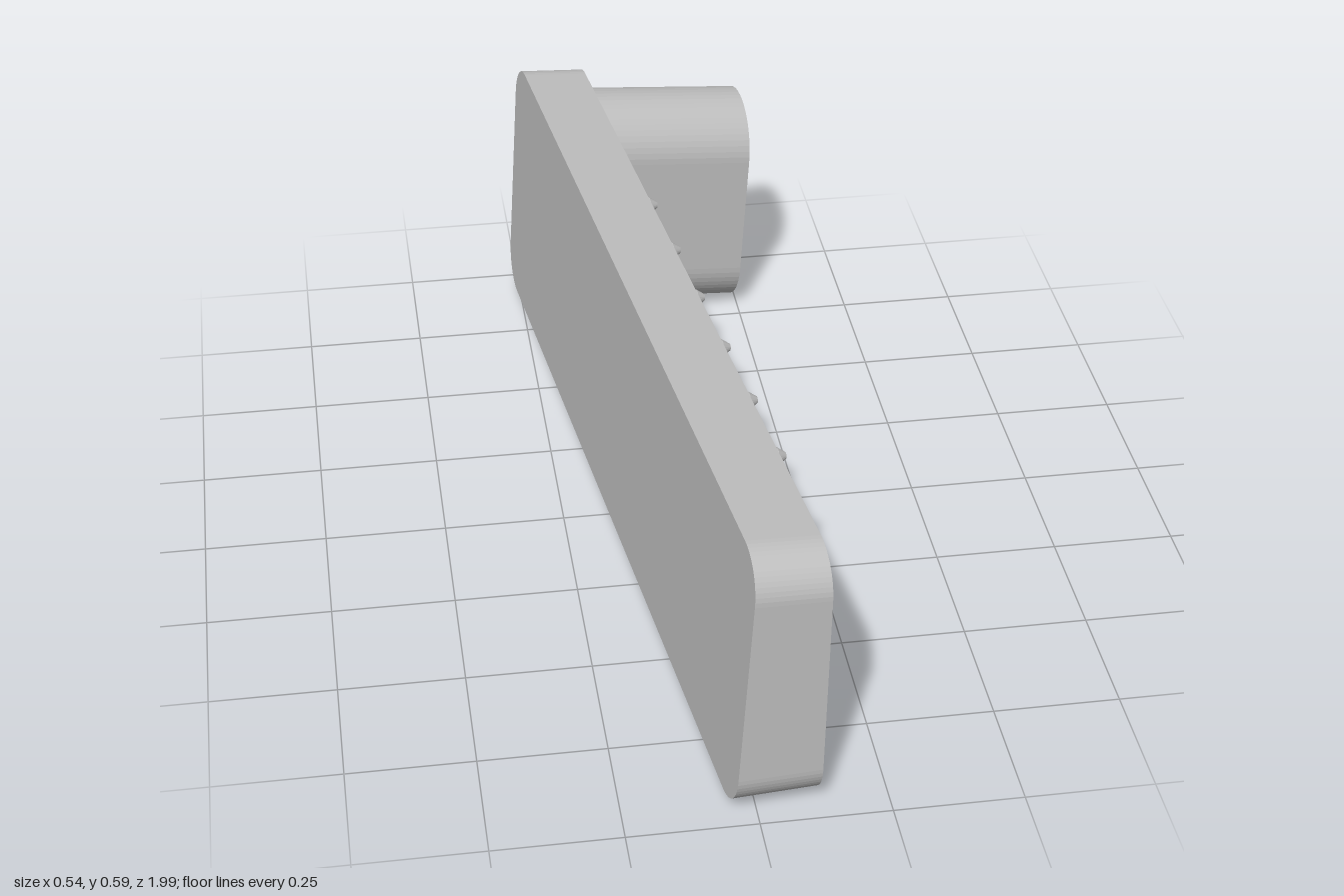
import * as THREE from 'three';

const grey = new THREE.MeshStandardMaterial({ color: 0xbfbfbf });
grey.name = 'plain grey';

// Tray frame: X runs to the back, Y up, Z out of the open side
const u = new THREE.Vector3(0.114, -0.007, 0.993).normalize();
const W = new THREE.Vector3(0.062, 0.998, 0).cross(u).normalize();
const V = u.clone().cross(W);
const A = u.clone().negate();
const ORIGIN = new THREE.Vector3(-0.14, 0.3085, 0.013);

// Rectangle with its own corner radius at each end
function outline(x0, x1, y, r0, r1, Type = THREE.Shape, cy = 0) {
  const s = new Type();
  const q = Math.PI / 2;
  s.absarc(x1 - r1, cy + y - r1, r1, 0, q);
  s.absarc(x0 + r0, cy + y - r0, r0, q, 2 * q);
  s.absarc(x0 + r0, cy - y + r0, r0, 2 * q, 3 * q);
  s.absarc(x1 - r1, cy - y + r1, r1, 3 * q, 4 * q);
  s.closePath();
  return s;
}

// Extrude a shape by one unit, then move each vertex by a rule
function bend(shape, rule) {
  const g = new THREE.ExtrudeGeometry(shape, { depth: 1, bevelEnabled: false, curveSegments: 7 });
  const p = g.attributes.position;
  const t = new THREE.Vector3();
  for (let i = 0; i < p.count; i++) {
    rule(t.fromBufferAttribute(p, i));
    p.setXYZ(i, t.x, t.y, t.z);
  }
  g.computeVertexNormals();
  return g;
}

function part(name, geometry) {
  const m = new THREE.Mesh(geometry, grey);
  m.name = name;
  return m;
}

// Tray pieces: depth grows toward the lower edge, height narrows at the rim
function trayPiece(name, shape, from, to) {
  return part(name, bend(shape, (t) => {
    const k = from + (to - from) * t.z;
    t.z = k * (0.153 - 0.045 * t.y);
    t.y *= 1 - 0.02 * k;
  }));
}

export function createModel() {
  const model = new THREE.Group();
  model.name = 'pegTray';
  const tray = new THREE.Group();
  tray.name = 'tray';
  const frame = new THREE.Matrix4().makeBasis(A, V, W).setPosition(ORIGIN);
  frame.decompose(tray.position, tray.quaternion, tray.scale);
  model.add(tray);

  // Floor and surrounding wall
  const full = () => outline(-0.985, 0.985, 0.284, 0.085, 0.085);
  tray.add(trayPiece('trayFloor', full(), 0, 0.1));
  const ring = full();
  ring.holes.push(outline(-0.963, 0.963, 0.264, 0.068, 0.068, THREE.Path));
  tray.add(trayPiece('trayWall', ring, 0.1, 1));

  // Closed compartment around the foot of the spout
  tray.add(trayPiece('partition', outline(0.692, 0.704, 0.268, 0.001, 0.001), 0.08, 0.997));
  const deck = outline(0.692, 0.973, 0.272, 0.001, 0.076);
  deck.holes.push(outline(0.711, 0.937, 0.251, 0.112, 0.112, THREE.Path, 0.008));
  tray.add(trayPiece('compartmentCover', deck, 0.9, 0.997));

  // Two rows of tapered pegs
  const rows = [
    { name: 'upperPeg', v: 0.13, start: 0.444, step: 0.1976, base: 0.035, neck: 0.018 },
    { name: 'lowerPeg', v: -0.165, start: 0.459, step: 0.2, base: 0.053, neck: 0.021 },
  ];
  for (const row of rows) {
    const profile = [[row.base, 0], [row.neck, 0.195], [0.007, 0.212], [0, 0.212]];
    let g = new THREE.LatheGeometry(profile.map(([r, h]) => new THREE.Vector2(r, h)), 20);
    g = g.rotateX(Math.PI / 2).toNonIndexed();
    g.computeVertexNormals();
    for (let i = 0; i < 6; i++) {
      const peg = part(row.name, g);
      peg.position.set(-(row.start - i * row.step), row.v, 0.012);
      tray.add(peg);
    }
  }

  // Hollow oval spout leaning down and back from the tray floor
  const foot = new THREE.Vector3(-0.22, 0.334, -0.798);
  const mouth = new THREE.Vector3(0.247, 0.262, -0.88);
  const oval = outline(-0.12, 0.12, 0.258, 0.119, 0.119);
  oval.holes.push(outline(-0.107, 0.107, 0.245, 0.106, 0.106, THREE.Path));
  model.add(part('spout', bend(oval, (t) => {
    const { x, y, z } = t;
    t.lerpVectors(foot, mouth, z).addScaledVector(A, x).addScaledVector(V, y);
  })));
  return model;
}
